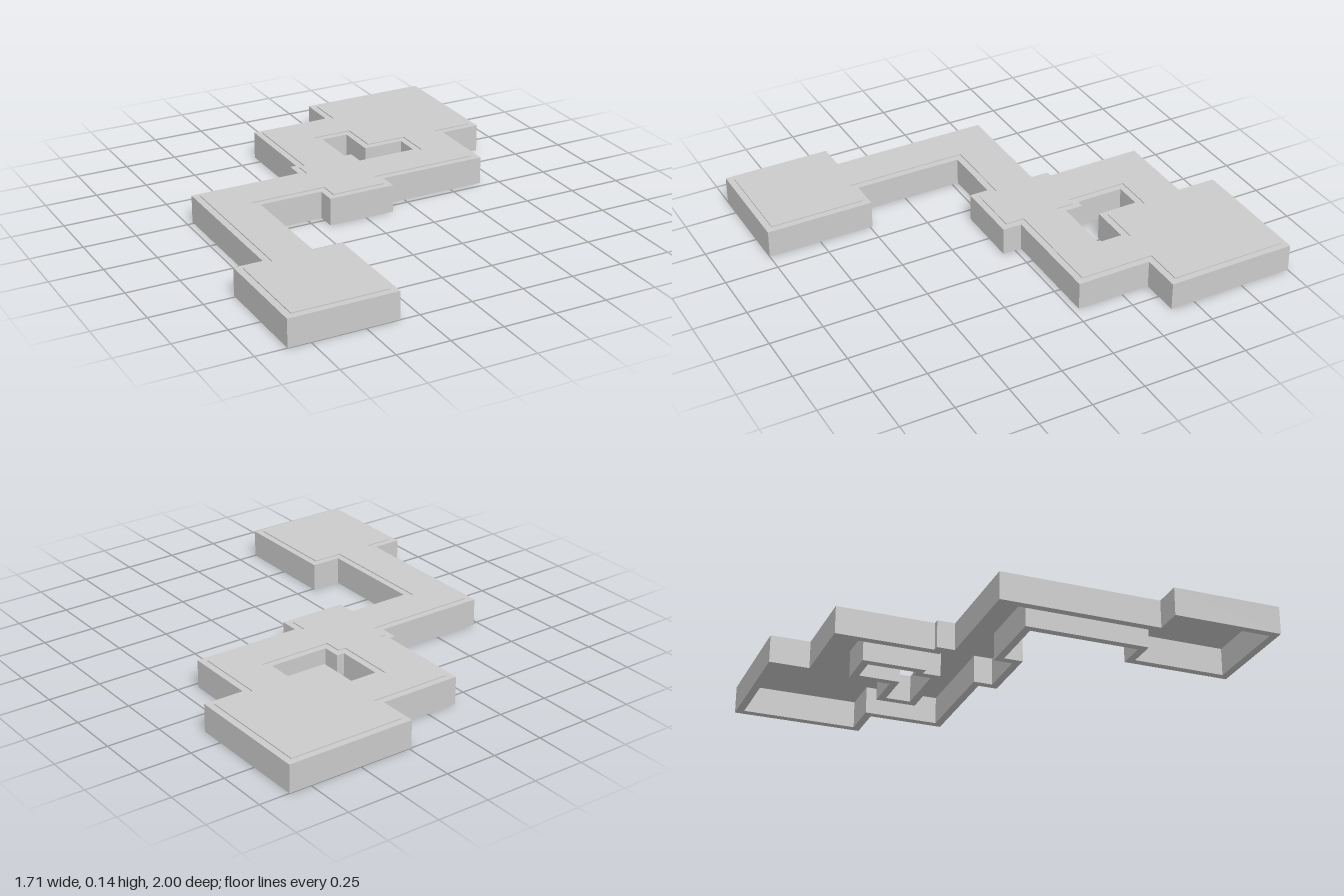
import * as THREE from 'three';

// Floor-plan corners as [x, z], both loops clockwise seen from above
const OUTLINE = [
  [-0.153, -0.812], [0.238, -0.812], [0.238, -1], [0.855, -1], [0.855, -0.383], [0.662, -0.383],
  [0.662, -0.03], [0.14, -0.03], [0.14, 0.06], [-0.182, 0.06], [-0.182, -0.03], [-0.485, -0.03],
  [-0.485, 0.488], [-0.343, 0.488], [-0.343, 1], [-0.855, 1], [-0.855, 0.488], [-0.72, 0.488],
  [-0.72, -0.265], [-0.182, -0.265], [-0.182, -0.35], [-0.153, -0.35],
];
const COURTYARD = [
  [0.103, -0.578], [0.233, -0.578], [0.233, -0.383], [0.428, -0.383],
  [0.428, -0.265], [0.14, -0.265], [0.14, -0.35], [0.103, -0.35],
];
const WALL_HEIGHT = 0.132, WALL_THICKNESS = 0.036;
const ROOF_INSET = 0.031, ROOF_RISE = 0.005;

// Shift every edge of a right-angled loop sideways; positive moves into the loop
function inset(loop, distance) {
  const n = loop.length;
  return loop.map(([x, z], i) => {
    const [px, pz] = loop[(i + n - 1) % n];
    const [nx, nz] = loop[(i + 1) % n];
    const dx = Math.sign(x - px) + Math.sign(nx - x);
    const dz = Math.sign(z - pz) + Math.sign(nz - z);
    return [x - dz * distance, z + dx * distance];
  });
}

const toPoints = (loop) => loop.map(([x, z]) => new THREE.Vector2(x, -z));

// Upright prism over a plan with one opening, wound opposite to the outer loop
function prism(name, outer, hole, base, height, material) {
  const shape = new THREE.Shape(toPoints(outer).reverse());
  shape.holes.push(new THREE.Path(toPoints(hole)));
  const geometry = new THREE.ExtrudeGeometry(shape, { depth: height, bevelEnabled: false });
  geometry.rotateX(-Math.PI / 2);
  geometry.translate(0, base, 0);
  const mesh = new THREE.Mesh(geometry, material);
  mesh.name = name;
  return mesh;
}

export function createModel() {
  const group = new THREE.Group();
  group.name = 'roomComplex';
  const material = new THREE.MeshStandardMaterial({ color: 0xcccccc, flatShading: true });

  // Walls around the rooms and around the courtyard, open underneath
  group.add(prism('outerWalls', OUTLINE, inset(OUTLINE, WALL_THICKNESS), 0, WALL_HEIGHT, material));
  group.add(prism('courtyardWalls', inset(COURTYARD, -WALL_THICKNESS), COURTYARD, 0, WALL_HEIGHT, material));

  // Thin roof resting on the inner edge of the walls
  group.add(prism('roof', inset(OUTLINE, ROOF_INSET), inset(COURTYARD, -ROOF_INSET), WALL_HEIGHT, ROOF_RISE, material));
  return group;
}
